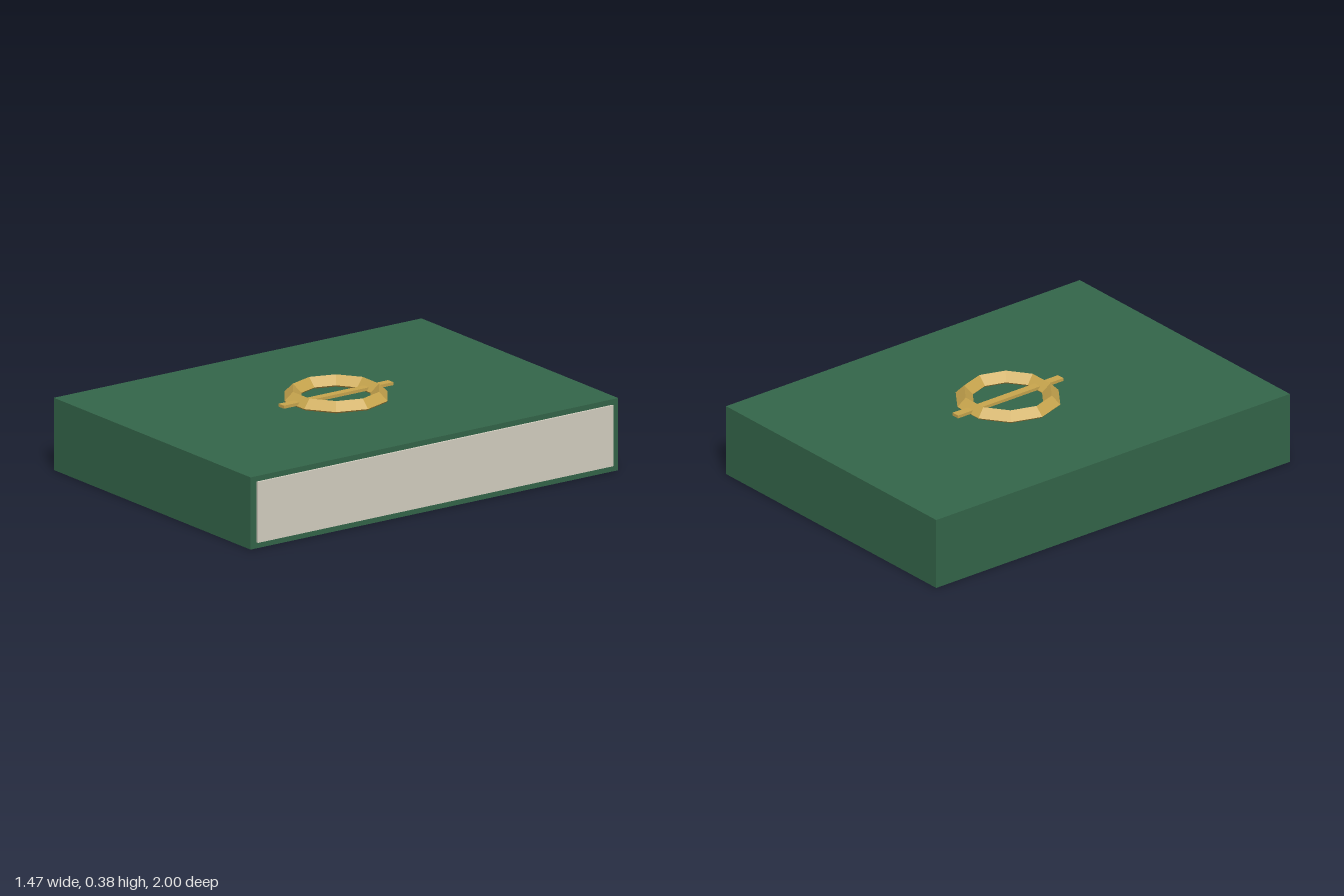
import * as THREE from 'three';

const CENTER_X = -0.007;

function addPart(group, name, geometry, color, x, y) {
  const material = new THREE.MeshStandardMaterial({ color, flatShading: true });
  const mesh = new THREE.Mesh(geometry, material);
  mesh.name = name;
  mesh.position.set(x, y, 0);
  group.add(mesh);
  return mesh;
}

export function createModel() {
  const book = new THREE.Group();
  book.name = 'book';
  const green = 0x34664a, cream = 0xd6d1c2, gold = 0xc9a64e;

  // Solid cover with the page block standing slightly proud of its open side
  addPart(book, 'cover', new THREE.BoxGeometry(1.465, 0.332, 2), green, CENTER_X, 0.166);
  addPart(book, 'pages', new THREE.BoxGeometry(1.42, 0.28, 1.934), cream, 0.025, 0.167);

  // Emblem: ten-sided ring of diamond section, half sunk into the cover
  const ring = new THREE.TorusGeometry(0.199, 0.039, 4, 10).rotateX(-Math.PI / 2);
  addPart(book, 'emblemRing', ring, gold, CENTER_X, 0.34);

  // Thin bar crossing the ring from front to back
  addPart(book, 'emblemBar', new THREE.BoxGeometry(0.038, 0.014, 0.595), gold, CENTER_X, 0.348);

  return book;
}
